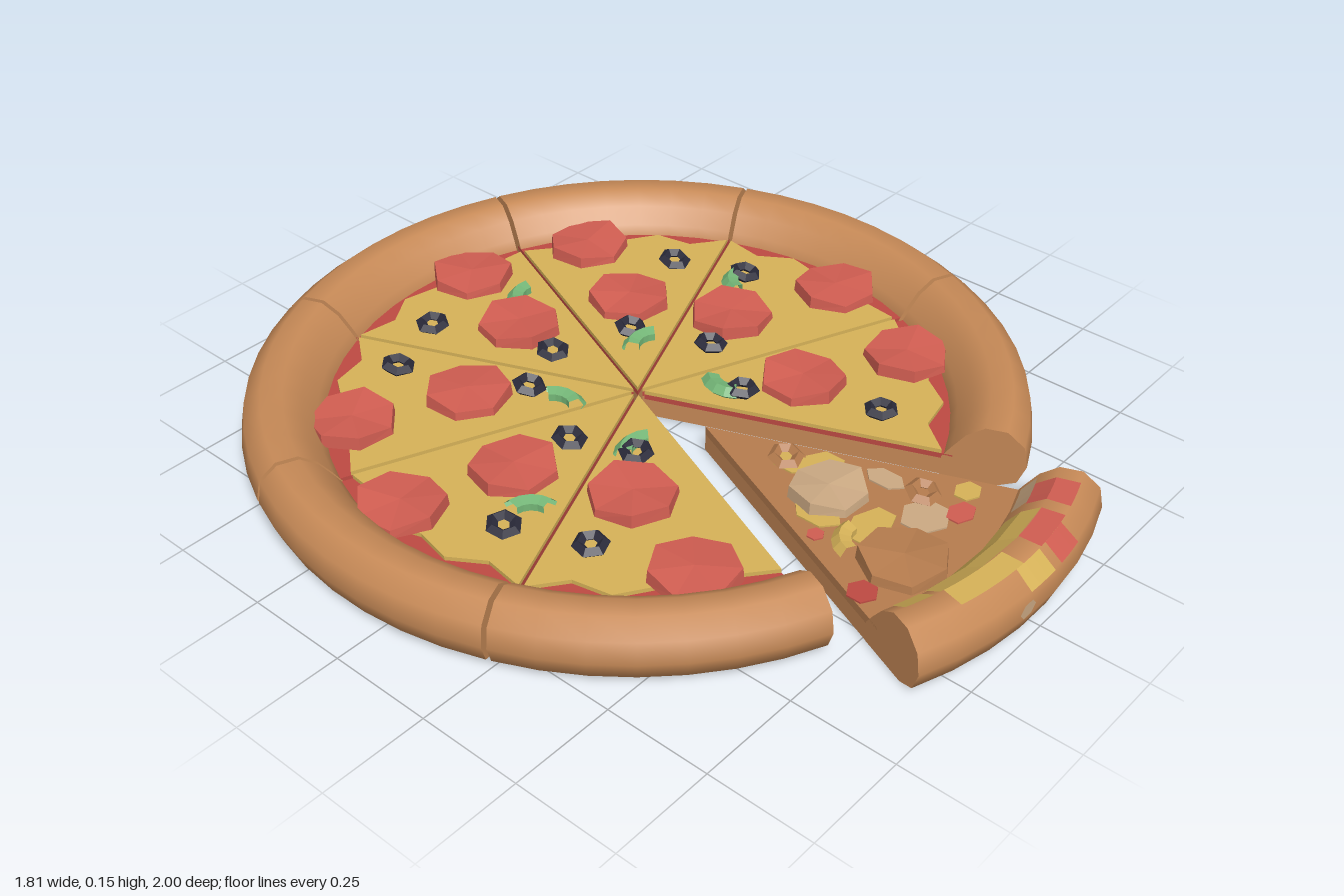
import * as THREE from 'three';

const mat = (name, color, side = THREE.FrontSide, flatShading = false) => {
  const m = new THREE.MeshStandardMaterial({ color, side, flatShading });
  m.name = name;
  return m;
};

const HALF = Math.PI / 8; // half the angle of one slice

// crust cross-section (radius, height), counter-clockwise from the bottom inside
const PROFILE = [
  [0.70, 0], [0.83, 0], [0.872, 0.018], [0.89, 0.065], [0.88, 0.115], [0.84, 0.148],
  [0.79, 0.148], [0.75, 0.12], [0.72, 0.08], [0.70, 0.05], [0.70, 0],
].map(([r, y]) => new THREE.Vector2(r, y));

export function createModel() {
  const M = {
    crust: mat('crust brown', 0xc78a57, THREE.DoubleSide),
    baked: mat('baked brown', 0xb67c4e, THREE.DoubleSide, true),
    cheese: mat('cheese yellow', 0xd6b258, THREE.FrontSide, true),
    sauce: mat('sauce red', 0xbd4a42, THREE.DoubleSide, true),
    pepperoni: mat('pepperoni red', 0xd05d51, THREE.FrontSide, true),
    olive: mat('olive black', 0x2c2c3c, THREE.FrontSide, true),
    pepper: mat('pepper green', 0x74b677, THREE.DoubleSide, true),
    tan: mat('mushroom tan', 0xcba983, THREE.DoubleSide, true),
  };
  const model = new THREE.Group();
  model.name = 'pizza';

  const add = (parent, name, geometry, material, x = 0, y = 0, z = 0) => {
    const mesh = new THREE.Mesh(geometry, material);
    mesh.name = name;
    mesh.position.set(x, y, z);
    parent.add(mesh);
    return mesh;
  };

  // flat wedge with its tip at the origin, pointing outward to +z
  const wedge = (radii, y0, y1) => {
    const pts = [new THREE.Vector2(0, 0)];
    radii.forEach((r, i) => {
      const a = -HALF + (2 * HALF * i) / (radii.length - 1);
      pts.push(new THREE.Vector2(r * Math.sin(a), -r * Math.cos(a)));
    });
    return new THREE.ExtrudeGeometry(new THREE.Shape(pts), { depth: y1 - y0, bevelEnabled: false })
      .rotateX(-Math.PI / 2).translate(0, y0, 0);
  };

  // arc of crust, closed by a flat cut at each end
  const addCrust = (parent) => {
    add(parent, 'crust', new THREE.LatheGeometry(PROFILE, 7, -HALF, 2 * HALF), M.crust);
    for (const s of [-1, 1]) {
      const cut = add(parent, 'crustCut', new THREE.ShapeGeometry(new THREE.Shape(PROFILE)), M.crust);
      cut.rotation.y = s * HALF - Math.PI / 2;
    }
  };

  // folded slice of sausage: the rim rises and falls around the centre
  const addPepperoni = (parent, x, z, r, phase, material) => {
    const g = new THREE.CylinderGeometry(r * 0.97, r, 0.026, 7);
    const p = g.attributes.position;
    for (let i = 0; i < p.count; i++) {
      if (p.getY(i) < 0) continue;
      const rim = Math.hypot(p.getX(i), p.getZ(i)) / r;
      p.setY(i, p.getY(i) + 0.009 * rim * Math.sin(2 * Math.atan2(p.getZ(i), p.getX(i)) + phase));
    }
    g.computeVertexNormals();
    add(parent, 'pepperoni', g, material, x, 0.08, z).rotation.y = phase;
  };

  const addOlive = (parent, x, z, phase, material) => {
    const g = new THREE.TorusGeometry(0.028, 0.014, 4, 6).rotateX(Math.PI / 2);
    add(parent, 'oliveRing', g, material, x, 0.08, z).rotation.set(0.12, phase, 0.1);
  };

  const addPepper = (parent, x, z, angle, material) => {
    const g = new THREE.TorusGeometry(0.06, 0.023, 5, 4, 1.5)
      .rotateZ(Math.PI / 2 - 0.75).translate(0, -0.055, 0).rotateX(-Math.PI / 2).scale(1, 0.8, 1);
    add(parent, 'pepperStrip', g, material, x, 0.075, z).rotation.y = angle;
  };

  // eight slices; the front one is pulled out
  const cheeseEdge = [0.70, 0.655, 0.69, 0.665, 0.70, 0.66, 0.68];
  for (let i = 0; i < 8; i++) {
    const pulled = i === 0;
    const slice = new THREE.Group();
    slice.name = pulled ? 'pulledSlice' : 'slice';
    const a = i * 2 * HALF;
    slice.rotation.y = a;
    slice.position.set(0.015 * Math.sin(a), 0, pulled ? 0.11 : -0.095 + 0.015 * Math.cos(a));
    model.add(slice);
    addCrust(slice);
    add(slice, 'base', wedge(Array(8).fill(0.76), 0.001, 0.045), M.crust);
    if (pulled) {
      add(slice, 'bakedTop', wedge(Array(8).fill(0.74), 0.045, 0.066), M.baked);
    } else {
      const edge = i % 2 ? cheeseEdge : [...cheeseEdge].reverse();
      add(slice, 'sauce', wedge(Array(8).fill(0.725), 0.045, 0.058), M.sauce);
      add(slice, 'cheese', wedge(edge, 0.058, 0.068), M.cheese);
    }
  }

  // toppings of the whole slices
  const pepperoni = [
    [0.09, -0.74], [0.01, -0.49], [0.39, -0.62], [0.275, -0.37], [0.38, -0.13], [0.645, -0.01],
    [0.28, 0.17], [0.52, 0.295], [-0.4, 0.42], [-0.3, 0.16], [-0.4, -0.1], [-0.65, -0.19],
    [-0.52, -0.495], [-0.27, -0.38],
  ];
  pepperoni.forEach(([x, z], i) => addPepperoni(model, x, z, 0.103, i * 1.3, M.pepperoni));
  const olives = [
    [-0.13, -0.65], [-0.02, -0.35], [0.48, -0.4], [0.175, -0.275], [0.55, -0.225], [0.25, -0.085],
    [0.155, 0.09], [0.3, 0.38], [-0.48, 0.205], [-0.185, 0.065], [-0.555, 0.025], [-0.245, -0.08],
    [-0.16, -0.29], [-0.305, -0.58],
  ];
  olives.forEach(([x, z], i) => addOlive(model, x, z, i * 0.7, M.olive));
  const peppers = [
    [0.1, -0.585, 0.5], [0.155, -0.23, 0], [0.5, -0.225, 0.7], [0.13, 0.045, 1.5],
    [-0.165, 0.035, 0], [-0.465, 0.015, -0.8], [-0.135, -0.2, -1.4],
  ];
  peppers.forEach(([x, z, angle]) => addPepper(model, x, z, angle, M.pepper));

  // toppings of the pulled slice
  const front = new THREE.Group();
  front.name = 'pulledSliceToppings';
  model.add(front);
  addPepperoni(front, -0.01, 0.465, 0.09, 0.4, M.tan);
  addPepperoni(front, -0.09, 0.72, 0.1, 1.9, M.baked);
  addOlive(front, 0.02, 0.325, 0.3, M.baked);
  addOlive(front, 0.115, 0.625, 1, M.baked);
  addPepper(front, -0.12, 0.59, 0.6, M.cheese);

  // coloured blotches on the pulled slice: x, z, radius x, radius z, material
  const blotches = [
    [0.06, 0.40, 0.05, 0.05, M.cheese], [-0.08, 0.49, 0.04, 0.06, M.cheese],
    [-0.04, 0.6, 0.07, 0.045, M.cheese], [0.11, 0.53, 0.03, 0.05, M.tan],
    [0.06, 0.67, 0.06, 0.055, M.tan], [-0.22, 0.71, 0.035, 0.035, M.sauce],
    [0.12, 0.72, 0.04, 0.03, M.pepperoni], [0.19, 0.69, 0.035, 0.03, M.cheese],
    [-0.14, 0.53, 0.02, 0.02, M.pepperoni], [0.02, 0.34, 0.035, 0.05, M.cheese],
  ];
  blotches.forEach(([x, z, rx, rz, m], i) => {
    const g = new THREE.CylinderGeometry(1, 1, 0.004, 6).scale(rx, 1, rz);
    add(front, 'blotch', g, m, x, 0.068 + i * 0.0003, z);
  });

  // blotches following the crust: first and last profile point, start and end angle
  const crustBlotches = [
    [6, 8, -0.25, 0.2, M.cheese], [5, 7, -0.24, -0.12, M.cheese], [5, 6, -0.12, -0.02, M.cheese],
    [5, 6, 0.06, 0.2, M.pepperoni], [5, 7, 0.24, 0.34, M.pepperoni], [4, 5, -0.05, 0.05, M.cheese],
    [4, 5, 0.08, 0.17, M.pepperoni], [7, 8, 0.25, 0.37, M.tan], [6, 7, -0.36, -0.27, M.cheese],
  ];
  for (const [from, to, a0, a1, m] of crustBlotches) {
    const strip = PROFILE.slice(from, to + 1).map((p) => p.clone().sub(new THREE.Vector2(0.79, 0.07))
      .multiplyScalar(1.04).add(new THREE.Vector2(0.79, 0.07)));
    add(front, 'crustBlotch', new THREE.LatheGeometry(strip, 3, a0, a1 - a0), m, 0, 0, 0.11);
  }
  const spot = add(front, 'crustSpot', new THREE.CircleGeometry(0.028, 6), M.tan, -0.06, 0.085, 0.9985);
  spot.scale.y = 0.7;

  // pale patch on the cut end of the crust
  const patch = new THREE.Shape([[0.74, 0.03], [0.83, 0.02], [0.86, 0.06], [0.82, 0.105], [0.75, 0.1]]
    .map(([x, y]) => new THREE.Vector2(x, y)));
  const end = add(front, 'cutPatch', new THREE.ShapeGeometry(patch), M.tan, 0.003, 0, 0.11);
  end.rotation.y = HALF - Math.PI / 2;

  return model;
}
